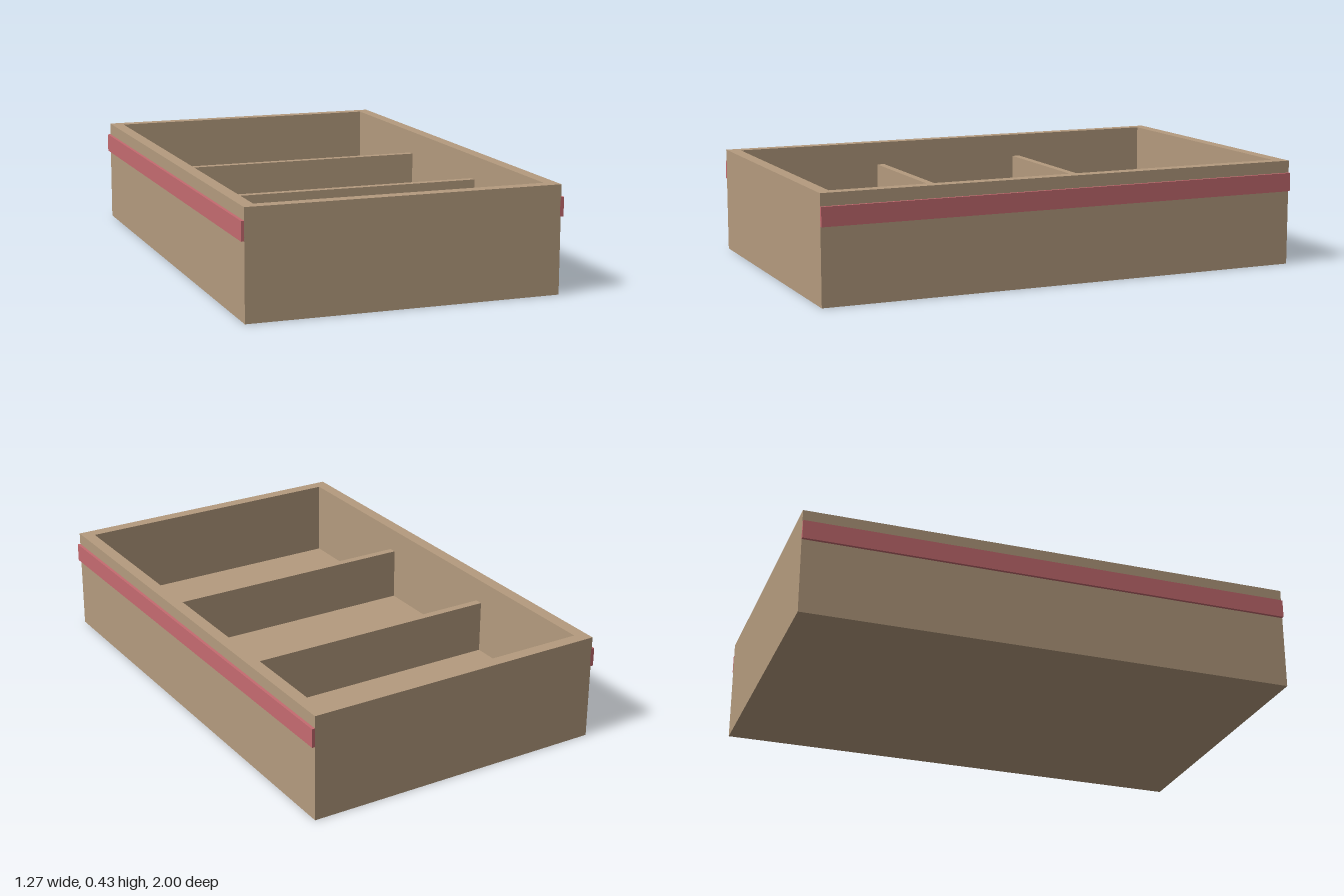
import * as THREE from 'three';

export function createModel() {
  const model = new THREE.Group();
  model.name = 'drawerTray';

  const wood = new THREE.MeshStandardMaterial({ color: 0xb49b7e });
  wood.name = 'tan wood';
  const rail = new THREE.MeshStandardMaterial({ color: 0xc56b70 });
  rail.name = 'rose rail';

  const W = 0.625, D = 1, H = 0.427, WALL = 0.05, FLOOR = 0.115;
  const inW = W - WALL, inD = D - WALL;

  // Box given by its minimum and maximum corners
  function box(name, material, [x0, y0, z0], [x1, y1, z1]) {
    const mesh = new THREE.Mesh(new THREE.BoxGeometry(x1 - x0, y1 - y0, z1 - z0), material);
    mesh.position.set((x0 + x1) / 2, (y0 + y1) / 2, (z0 + z1) / 2);
    mesh.name = name;
    model.add(mesh);
  }

  // Solid base whose top is the inner floor
  box('base', wood, [-W, 0, -D], [W, FLOOR, D]);

  // Wall frame: one rectangle with a rectangular opening
  const outline = new THREE.Shape([
    new THREE.Vector2(-W, -D), new THREE.Vector2(W, -D),
    new THREE.Vector2(W, D), new THREE.Vector2(-W, D),
  ]);
  outline.holes.push(new THREE.Path([
    new THREE.Vector2(-inW, -inD), new THREE.Vector2(-inW, inD),
    new THREE.Vector2(inW, inD), new THREE.Vector2(inW, -inD),
  ]));
  const frame = new THREE.Mesh(
    new THREE.ExtrudeGeometry(outline, { depth: H - FLOOR, bevelEnabled: false }), wood);
  frame.rotation.x = -Math.PI / 2;
  frame.position.y = FLOOR;
  frame.name = 'walls';
  model.add(frame);

  // Two low dividers across the tray
  for (const [name, z] of [['backDivider', -0.328], ['frontDivider', 0.322]]) {
    box(name, wood, [-inW, FLOOR, z - 0.016], [inW, 0.33, z + 0.016]);
  }

  // Slide rails along both sides
  box('leftRail', rail, [W - 0.003, 0.303, -D], [W + 0.012, 0.378, D]);
  box('rightRail', rail, [-W - 0.012, 0.303, -D], [-W + 0.003, 0.378, D]);

  return model;
}
